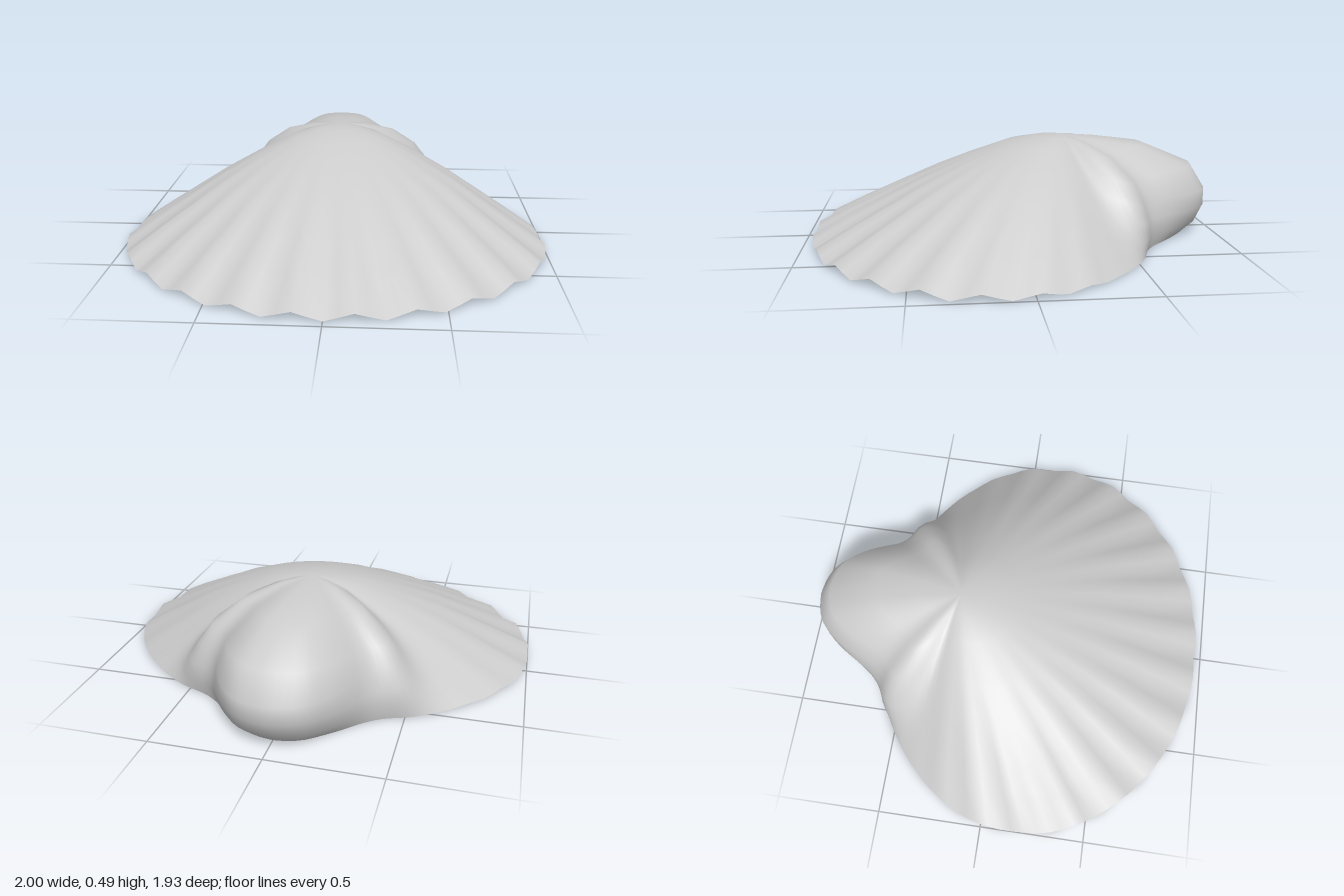
import * as THREE from 'three';
import { mergeVertices } from 'three/addons/utils/BufferGeometryUtils.js';

const COLUMNS = 120;  // around the shell
const RIBS = 30;      // rib spacing if they ran all the way round
const CROWN_Z = -0.23; // highest point of the shell, centre of the columns

// Rim radius from the crown, every 10 degrees from front to back
const RIM = new THREE.SplineCurve([
  1.197, 1.2, 1.2, 1.195, 1.183, 1.163, 1.13, 1.065, 0.99, 0.888,
  0.785, 0.695, 0.62, 0.55, 0.53, 0.545, 0.575, 0.615, 0.63,
].map((r, i) => new THREE.Vector2(i, r)));

// Cross-sections from rim to crown: [fraction of rim radius, height]
const FAN = [[1, 0.004], [0.85, 0.1], [0.71, 0.19], [0.57, 0.28], [0.4, 0.37], [0.22, 0.45], [0.1, 0.478], [0, 0.49]];
const WAIST = [[1, 0], [1.03, 0.07], [1.01, 0.14], [0.95, 0.22], [0.85, 0.31], [0.6, 0.41], [0.3, 0.465], [0, 0.49]];
const BEAK = [[1, 0], [1.11, 0.06], [1.17, 0.14], [1.17, 0.22], [1.05, 0.34], [0.67, 0.44], [0.33, 0.47], [0, 0.49]];

const { lerp, smoothstep } = THREE.MathUtils;

// Blends the three cross-sections by angle (0 = front, PI = back)
function section(angle, row) {
  const toWaist = smoothstep(angle, 1.75, 2.25);
  const toBeak = smoothstep(angle, 2.3, 2.95);
  return [0, 1].map((k) =>
    lerp(lerp(FAN[row][k], WAIST[row][k], toWaist), BEAK[row][k], toBeak));
}

// Triangular ribs that fade towards the crown and the back
function rib(angle, s) {
  const phase = (angle * RIBS) / (2 * Math.PI);
  const wave = 1 - Math.abs(1 - 2 * (phase - Math.floor(phase)));
  return 0.035 * wave * smoothstep(s, 0.4, 1) * (1 - smoothstep(angle, 0.9, 2.0));
}

function shellGeometry() {
  const positions = [];
  const index = [];
  const rows = FAN.length;
  for (let row = 0; row < rows; row++) {
    for (let i = 0; i < COLUMNS; i++) {
      const turn = (i / COLUMNS) * 2 * Math.PI;
      const angle = Math.min(turn, 2 * Math.PI - turn); // mirrored halves
      const [s, y] = section(angle, row);
      const r = s * RIM.getPoint(angle / Math.PI).y;
      positions.push(r * Math.sin(turn), y + rib(angle, s), CROWN_Z + r * Math.cos(turn));
      if (row === rows - 1) continue;
      const a = row * COLUMNS + i;
      const b = row * COLUMNS + ((i + 1) % COLUMNS);
      index.push(a, b, a + COLUMNS);
      if (row < rows - 2) index.push(b, b + COLUMNS, a + COLUMNS);
    }
  }
  const geometry = new THREE.BufferGeometry();
  geometry.setAttribute('position', new THREE.Float32BufferAttribute(positions, 3));
  geometry.setIndex(index);
  const merged = mergeVertices(geometry); // joins the crown into one point
  merged.computeVertexNormals();
  return merged;
}

export function createModel() {
  const group = new THREE.Group();
  group.name = 'seashell';
  const material = new THREE.MeshStandardMaterial({ color: 0xcccccc, side: THREE.DoubleSide });
  const shell = new THREE.Mesh(shellGeometry(), material);
  shell.name = 'shellValve';
  group.add(shell);
  return group;
}
